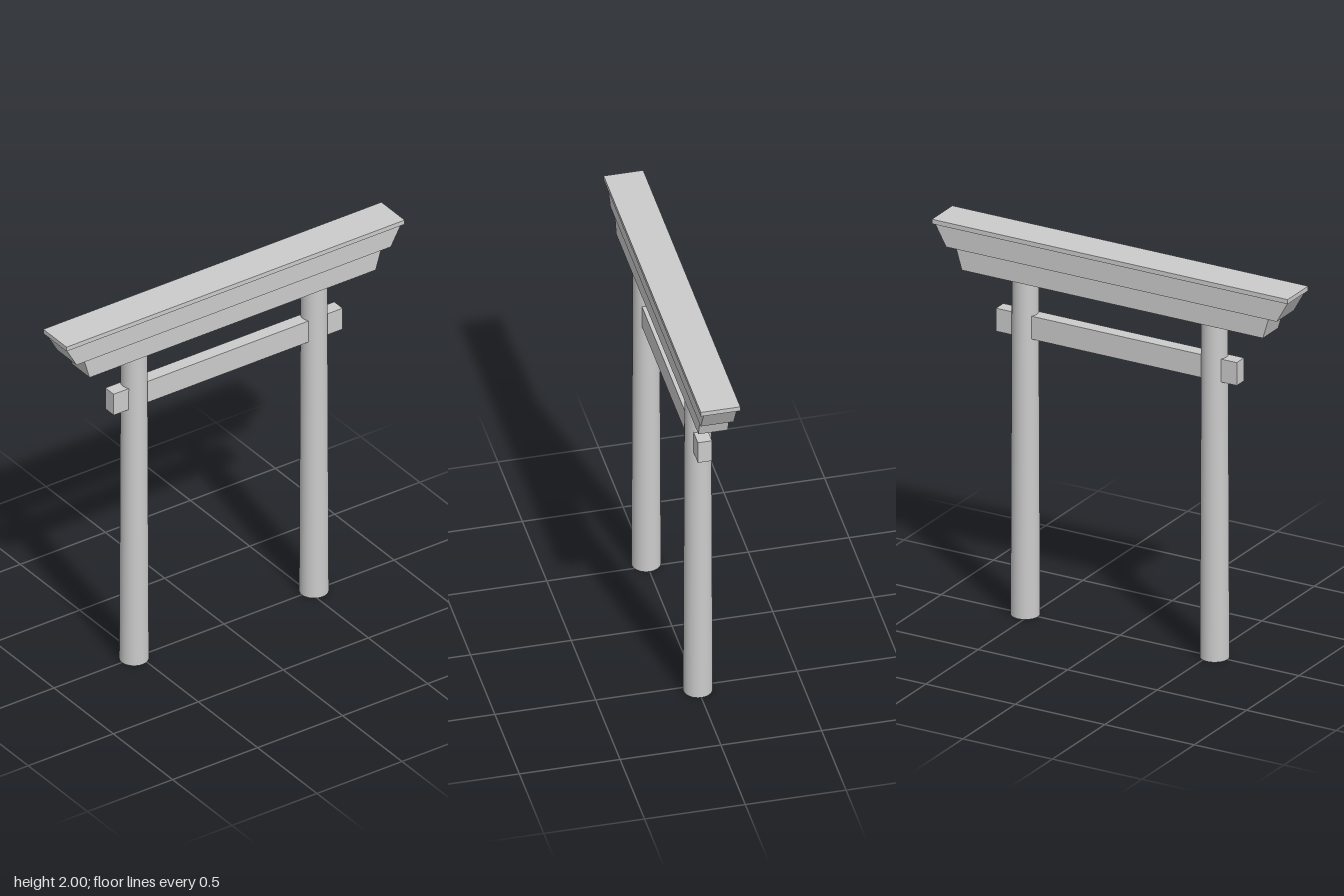
import * as THREE from 'three';

const material = new THREE.MeshStandardMaterial({ color: 0xcccccc });

// Beam along x whose ends slope from the bottom half-length to the top half-length
function beam(name, y0, y1, halfBottom, halfTop, depth) {
  const shape = new THREE.Shape([
    new THREE.Vector2(-halfBottom, y0),
    new THREE.Vector2(halfBottom, y0),
    new THREE.Vector2(halfTop, y1),
    new THREE.Vector2(-halfTop, y1),
  ]);
  const geometry = new THREE.ExtrudeGeometry(shape, { depth, bevelEnabled: false });
  geometry.translate(0, 0, -depth / 2);
  const mesh = new THREE.Mesh(geometry, material);
  mesh.name = name;
  return mesh;
}

export function createModel() {
  const gate = new THREE.Group();
  gate.name = 'gate';

  // Stacked top beams and the tie beam through the pillars
  gate.add(
    beam('roofCap', 1.976, 2, 0.994, 0.994, 0.196),
    beam('upperLintel', 1.864, 1.976, 0.924, 0.987, 0.164),
    beam('lowerLintel', 1.757, 1.864, 0.841, 0.873, 0.146),
    beam('tieBeam', 1.46, 1.58, 0.673, 0.673, 0.07),
  );

  // Round pillars, slightly tapered
  const pillarHeight = 1.757;
  const pillarGeometry = new THREE.CylinderGeometry(0.065, 0.072, pillarHeight, 32);
  for (const side of [-1, 1]) {
    const pillar = new THREE.Mesh(pillarGeometry, material);
    pillar.name = side > 0 ? 'leftPillar' : 'rightPillar';
    pillar.position.set(side * 0.529, pillarHeight / 2, 0);
    gate.add(pillar);
  }
  return gate;
}
